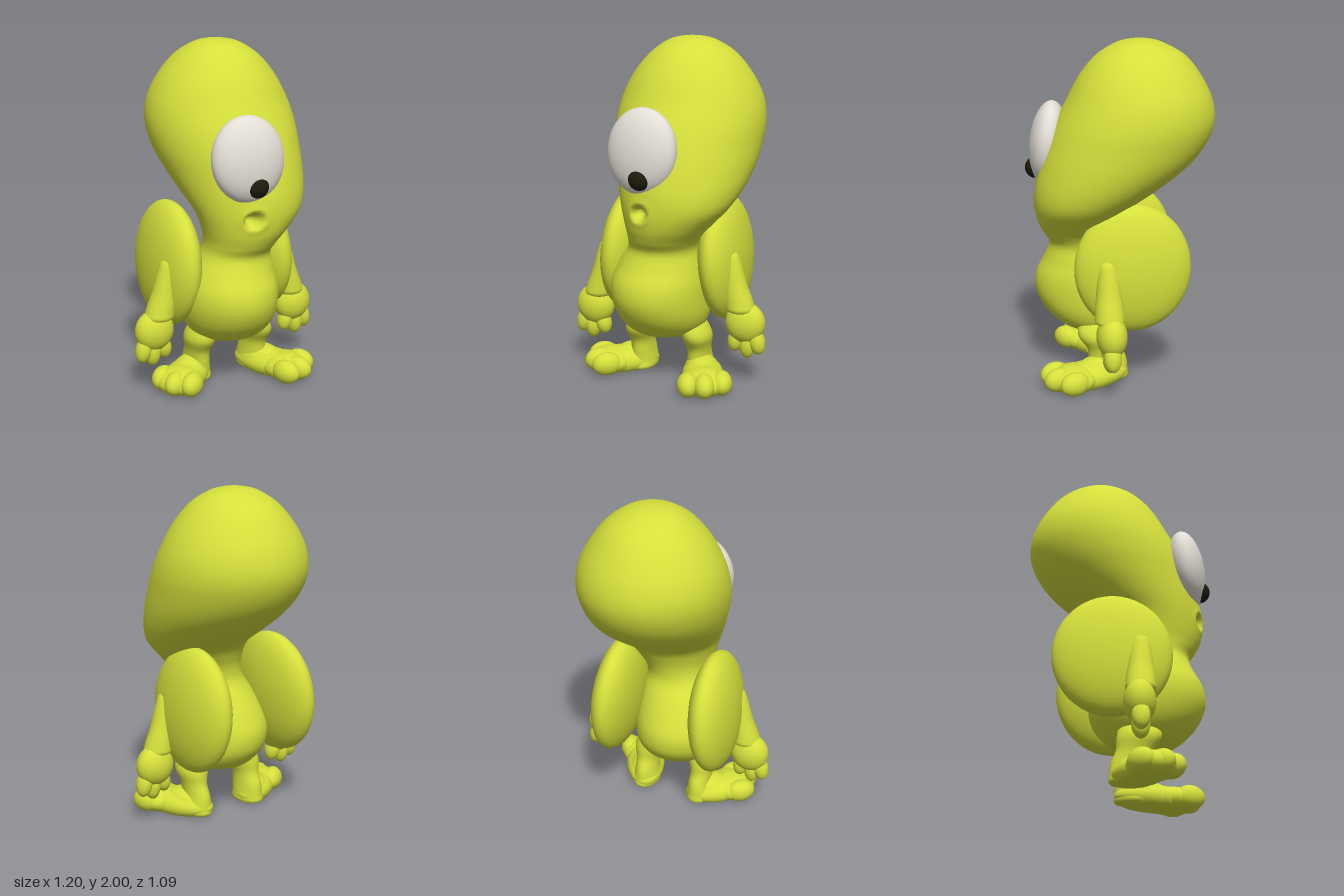
import * as THREE from 'three';

const skin = new THREE.MeshStandardMaterial({ color: 0xd5df3b });
skin.name = 'skin green';
const white = new THREE.MeshStandardMaterial({ color: 0xe3dfd6 });
white.name = 'eye white';
const black = new THREE.MeshStandardMaterial({ color: 0x1c1b0c });
black.name = 'pupil black';

// Catmull-Rom value between b and c
const spline = (a, b, c, d, t) =>
  b + 0.5 * t * (c - a + t * (2 * a - 5 * b + 4 * c - d + t * (3 * (b - c) + d - a)));

// Smooth skin through elliptical level sections [y, xMin, xMax, zBack, zFront], top to bottom
function loft(rows, steps, segs, side = 1) {
  const pos = [], idx = [], n = (rows.length - 1) * steps;
  for (let i = 0; i <= n; i++) {
    const k = Math.min(Math.floor(i / steps), rows.length - 2), t = i / steps - k;
    const at = (j) => rows[Math.max(0, Math.min(rows.length - 1, j))];
    const [y, x0, x1, z0, z1] = rows[0].map((_, c) =>
      spline(at(k - 1)[c], at(k)[c], at(k + 1)[c], at(k + 2)[c], t));
    for (let j = 0; j < segs; j++) {
      const a = (j / segs) * Math.PI * 2;
      pos.push(side * (x0 + x1) / 2 + Math.sin(a) * (x1 - x0) / 2, y,
        (z0 + z1) / 2 + Math.cos(a) * (z1 - z0) / 2);
    }
  }
  for (let i = 0; i < n; i++) for (let j = 0; j < segs; j++) {
    const a = i * segs + j, b = i * segs + (j + 1) % segs;
    idx.push(a, a + segs, b, b, a + segs, b + segs);
  }
  const g = new THREE.BufferGeometry();
  g.setAttribute('position', new THREE.Float32BufferAttribute(pos, 3));
  g.setIndex(idx);
  g.computeVertexNormals();
  return g;
}

function add(parent, name, geo, mat = skin) {
  const m = new THREE.Mesh(geo, mat);
  m.name = name;
  parent.add(m);
  return m;
}

function ball(parent, name, p, r, mat = skin, rot = [0, 0, 0]) {
  const m = add(parent, name, new THREE.SphereGeometry(1, 40, 28).scale(...r), mat);
  m.position.set(...p);
  m.rotation.set(...rot);
  return m;
}

// Ball pressed flat where it meets the ground
function soleBall(parent, name, p, r) {
  const g = new THREE.SphereGeometry(1, 36, 24).scale(...r).translate(...p);
  const v = g.attributes.position;
  for (let i = 0; i < v.count; i++) v.setY(i, Math.max(0.005, v.getY(i)));
  g.computeVertexNormals();
  return add(parent, name, g);
}

// Head leaning back over the neck and round belly
const BODY = [
  [2.0, 0.06, 0.06, -0.11, -0.11], [1.992, -0.016, 0.14, -0.19, -0.033],
  [1.968, -0.09, 0.215, -0.26, 0.04], [1.9, -0.183, 0.315, -0.375, 0.145],
  [1.79, -0.275, 0.407, -0.463, 0.235],
  [1.66, -0.34, 0.475, -0.527, 0.305],
  [1.53, -0.363, 0.503, -0.541, 0.375], [1.4, -0.35, 0.5, -0.49, 0.43],
  [1.28, -0.315, 0.485, -0.385, 0.468], [1.16, -0.27, 0.45, -0.225, 0.496],
  [1.06, -0.23, 0.395, -0.08, 0.501], [0.96, -0.2, 0.303, -0.02, 0.486],
  [0.88, -0.187, 0.235, 0, 0.45], [0.81, -0.2, 0.213, -0.01, 0.412],
  [0.72, -0.255, 0.235, -0.07, 0.44], [0.62, -0.3, 0.255, -0.13, 0.488],
  [0.52, -0.31, 0.262, -0.17, 0.495], [0.42, -0.29, 0.258, -0.16, 0.455],
  [0.34, -0.245, 0.228, -0.105, 0.385], [0.29, -0.18, 0.165, -0.04, 0.31],
  [0.267, -0.09, 0.08, 0.05, 0.22], [0.265, -0.01, -0.01, 0.13, 0.13],
];
const ARM = [
  [0.8, 0.38, 0.38, 0.12, 0.12], [0.785, 0.33, 0.425, 0.075, 0.165],
  [0.72, 0.32, 0.452, 0.058, 0.18], [0.6, 0.338, 0.487, 0.045, 0.19],
  [0.5, 0.355, 0.525, 0.035, 0.2], [0.45, 0.37, 0.53, 0.04, 0.195],
  [0.43, 0.45, 0.45, 0.12, 0.12],
];
const LEG = [
  [0.42, 0.17, 0.17, 0.14, 0.14], [0.36, 0.1, 0.235, 0.03, 0.24],
  [0.28, 0.105, 0.278, 0.005, 0.255],
  [0.2, 0.128, 0.264, 0, 0.205], [0.13, 0.125, 0.262, -0.028, 0.195],
  [0.06, 0.115, 0.275, -0.035, 0.19], [0.015, 0.12, 0.27, -0.03, 0.19],
  [0.004, 0.19, 0.19, 0.07, 0.07],
];

export function createModel() {
  const model = new THREE.Group();
  model.name = 'oneEyedCreature';

  // Head and body, with a small puckered mouth pressed in
  const bodyGeo = loft(BODY, 6, 112), v = bodyGeo.attributes.position;
  for (let i = 0; i < v.count; i++) {
    if (v.getZ(i) < 0.2) continue;
    const d = Math.hypot(v.getX(i) + 0.03, (v.getY(i) - 1.058) * 1.15);
    v.setZ(i, v.getZ(i) - 0.07 * Math.exp(-((d / 0.044) ** 4))
      + 0.006 * Math.exp(-(((d - 0.065) / 0.02) ** 2)));
  }
  bodyGeo.computeVertexNormals();
  add(model, 'headAndBody', bodyGeo);

  // Single eye
  ball(model, 'eyeball', [-0.037, 1.397, 0.408], [0.215, 0.244, 0.109], white, [-0.12, -0.14, 0]);
  ball(model, 'pupil', [-0.02, 1.255, 0.483], [0.063, 0.063, 0.062], black);

  for (const s of [-1, 1]) {
    const label = s > 0 ? 'left' : 'right';

    // Flat round shoulder disc
    ball(model, label + 'ShoulderDisc', [s * 0.308, 0.72, -0.037], [0.13, 0.371, 0.338],
      skin, [0, 0, s * 0.06]);

    // Arm, hand and three fingers
    const arm = new THREE.Group();
    arm.name = label + 'Arm';
    model.add(arm);
    add(arm, 'sleeve', loft(ARM, 4, 36, s));
    ball(arm, 'hand', [s * 0.478, 0.375, 0.11], [0.118, 0.122, 0.088]);
    [[0.552, 0.27, 0.078, 0.2], [0.495, 0.247, 0.083, 0], [0.425, 0.268, 0.073, -0.2]]
      .forEach(([x, y, r, tilt]) =>
        ball(arm, 'finger', [s * x, y, 0.115], [0.047, r, 0.05], skin, [0, 0, s * tilt]));

    // Leg, the right one standing slightly behind
    const leg = add(model, label + 'Leg', loft(LEG, 4, 40, s));
    leg.position.set(s > 0 ? 0 : 0.015, 0, s > 0 ? 0.012 : -0.018);

    // Splayed foot with three toes
    const foot = new THREE.Group();
    foot.name = label + 'Foot';
    foot.position.set(s > 0 ? 0.192 : -0.172, 0, s > 0 ? 0.065 : 0.04);
    foot.rotation.y = s > 0 ? 0.385 : -0.88;
    model.add(foot);
    const reach = s > 0 ? 0.385 : 0.32;
    soleBall(foot, 'sole', [s * 0.005, 0.055, reach * 0.42], [0.122, 0.085, reach * 0.66]);
    soleBall(foot, 'forefoot', [s * 0.01, 0.06, reach * 0.7], [0.142, 0.08, 0.14]);
    soleBall(foot, 'instep', [0, 0.06, reach * 0.25], [0.105, 0.1, reach * 0.42]);
    [[-0.088, -0.02], [0.005, 0], [0.105, -0.05]].forEach(([x, z]) =>
      soleBall(foot, 'toe', [s * x, 0.068, reach + z - 0.025], [0.062, 0.07, 0.09]));
  }
  return model;
}
